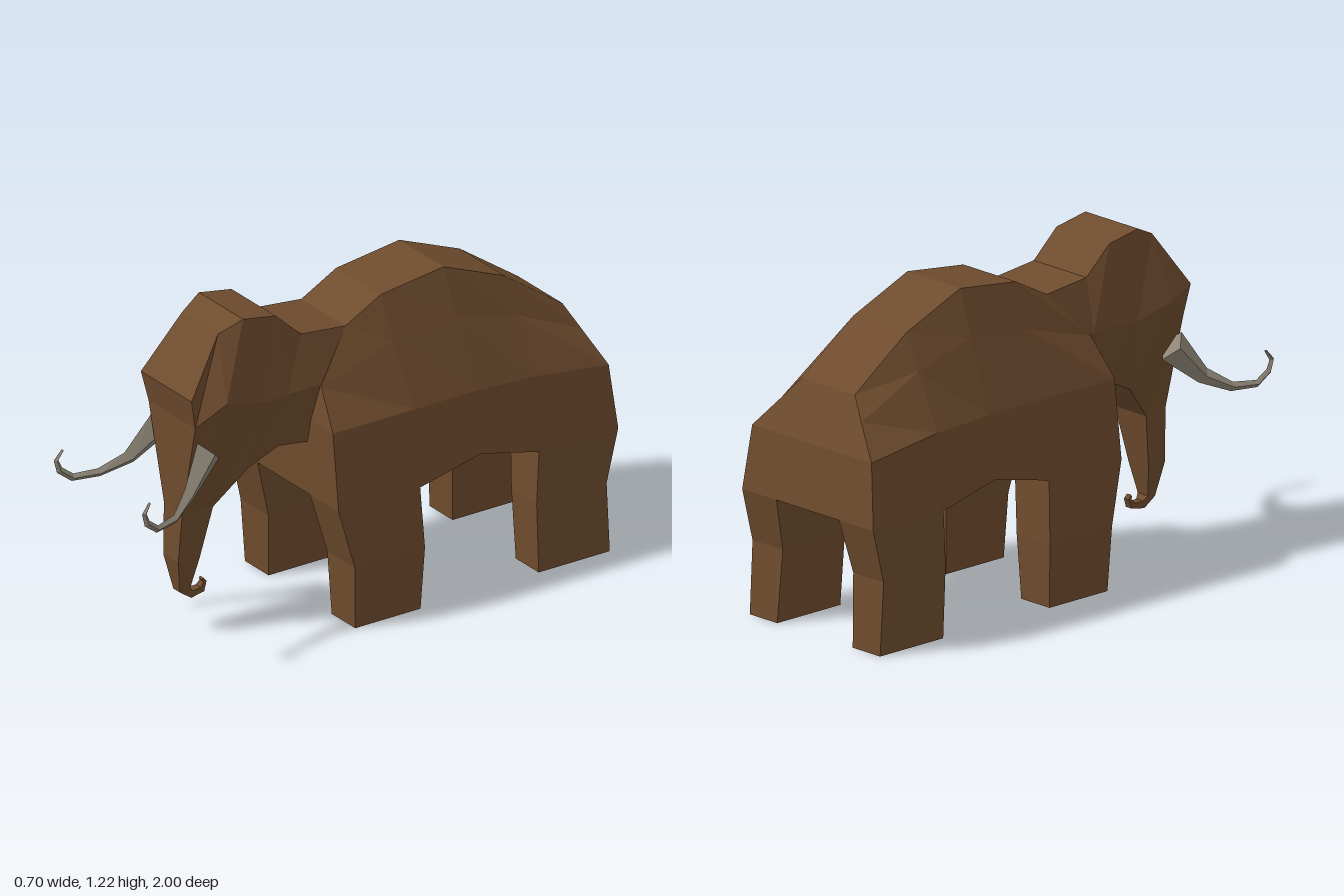
import * as THREE from 'three';

const V = (x, y, z) => new THREE.Vector3(x, y, z);

// Skin closed rings of points into a flat-sided solid with capped ends
function loft(rings) {
  const tris = [];
  const quad = (a, b, c, d) => tris.push(a, b, c, a, c, d);
  const n = rings[0].length;
  for (let r = 0; r < rings.length - 1; r++) {
    const p = rings[r], q = rings[r + 1];
    for (let i = 0; i < n; i++) {
      const j = (i + 1) % n;
      quad(p[i], p[j], q[j], q[i]);
    }
  }
  const s = rings[0], e = rings[rings.length - 1];
  for (let i = 0; i < n / 2 - 1; i++) {
    quad(s[i], s[n - 1 - i], s[n - 2 - i], s[i + 1]);
    quad(e[i], e[i + 1], e[n - 2 - i], e[n - 1 - i]);
  }
  // Turn the faces outward if the volume comes out negative
  let volume = 0;
  for (let i = 0; i < tris.length; i += 3) {
    volume += tris[i].dot(tris[i + 1].clone().cross(tris[i + 2]));
  }
  if (volume < 0) tris.reverse();
  const g = new THREE.BufferGeometry().setFromPoints(tris);
  g.computeVertexNormals();
  return g;
}

// Half ring of [x, y, z] completed by mirroring across x = 0
const sym = (half) => [
  ...half.map(([x, y, z]) => V(x, y, z)),
  ...half.slice().reverse().map(([x, y, z]) => V(-x, y, z)),
];

export function createModel() {
  const model = new THREE.Group();
  model.name = 'mammoth';
  const hide = new THREE.MeshStandardMaterial({ name: 'brownHide', color: 0x6f4c2e });
  const ivory = new THREE.MeshStandardMaterial({ name: 'greyIvory', color: 0x8f8678 });
  const add = (name, rings, material) => {
    const mesh = new THREE.Mesh(loft(rings), material);
    mesh.name = name;
    model.add(mesh);
  };

  // Body stations: back ridge, upper flank, flank, lower edge
  add('body', [
    [[0.135, 1.07, 0.03], [0.2, 0.9, 0.18], [0.3, 0.76, 0.2], [0.335, 0.47, 0.2]],
    [[0.135, 1.15, -0.12], [0.2, 0.99, -0.13], [0.3, 0.76, -0.15], [0.335, 0.47, -0.15]],
    [[0.135, 1.185, -0.39], [0.2, 1.02, -0.4], [0.3, 0.76, -0.41], [0.335, 0.53, -0.41]],
    [[0.135, 1.08, -0.65], [0.2, 0.95, -0.655], [0.303, 0.75, -0.66], [0.335, 0.47, -0.66]],
    [[0.135, 0.905, -0.9], [0.203, 0.826, -0.933], [0.305, 0.71, -0.98], [0.335, 0.47, -1]],
  ].map(sym), hide);

  // Head stations: crown, cheek, jaw
  add('head', [
    [[0.135, 1.07, 0.03], [0.195, 0.9, 0.1], [0.15, 0.67, 0.1]],
    [[0.135, 1.09, 0.22], [0.195, 0.905, 0.2], [0.145, 0.67, 0.2]],
    [[0.135, 1.19, 0.33], [0.195, 0.905, 0.32], [0.14, 0.685, 0.32]],
    [[0.135, 1.215, 0.47], [0.195, 0.9, 0.41], [0.125, 0.625, 0.44]],
    [[0.11, 1.172, 0.56], [0.193, 0.935, 0.58], [0.08, 0.49, 0.56]],
    [[0.155, 0.965, 0.705], [0.143, 0.85, 0.68], [0.057, 0.49, 0.675]],
  ].map(sym), hide);

  // Trunk stations: front edge, rear edge, ending in a small curl
  add('trunk', [
    [[0.057, 0.49, 0.675], [0.08, 0.49, 0.56]],
    [[0.045, 0.29, 0.685], [0.052, 0.29, 0.598]],
    [[0.02, 0.16, 0.66], [0.026, 0.17, 0.62]],
    [[0.018, 0.125, 0.61], [0.018, 0.152, 0.605]],
    [[0.016, 0.135, 0.553], [0.016, 0.152, 0.567]],
    [[0.012, 0.17, 0.54], [0.012, 0.17, 0.553]],
    [[0.01, 0.185, 0.553], [0.01, 0.178, 0.558]],
  ].map(sym), hide);

  // Leg levels: y, inner x, outer x, front z, rear z
  const legs = {
    FrontLeg: [
      [0.47, 0.16, 0.335, 0.2, -0.15],
      [0.24, 0.18, 0.35, 0.14, -0.16],
      [0, 0.193, 0.337, 0.13, -0.15],
    ],
    RearLeg: [
      [0.47, 0.16, 0.335, -0.66, -1],
      [0.27, 0.18, 0.335, -0.65, -0.95],
      [0, 0.193, 0.333, -0.66, -0.965],
    ],
  };

  // Tusk path: x, y, z, radius
  const tusk = [
    [0.143, 0.75, 0.625, 0.062],
    [0.185, 0.627, 0.735, 0.03],
    [0.233, 0.576, 0.83, 0.017],
    [0.26, 0.572, 0.925, 0.014],
    [0.268, 0.61, 0.975, 0.013],
    [0.27, 0.65, 0.988, 0.01],
    [0.266, 0.686, 0.962, 0.005],
  ];

  for (const [side, s] of [['left', 1], ['right', -1]]) {
    for (const [name, levels] of Object.entries(legs)) {
      add(side + name, levels.map(([y, xi, xo, zf, zr]) => [
        V(s * xi, y, zf), V(s * xo, y, zf), V(s * xo, y, zr), V(s * xi, y, zr),
      ]), hide);
    }
    // Diamond sections set square to the path
    add(side + 'Tusk', tusk.map(([x, y, z, r], i) => {
      const a = tusk[Math.max(i - 1, 0)], b = tusk[Math.min(i + 1, tusk.length - 1)];
      const t = Math.atan2(b[1] - a[1], b[2] - a[2]);
      const up = V(0, Math.cos(t) * r, -Math.sin(t) * r);
      const out = V(r * 0.65 + 0.003, 0, 0);
      const c = V(s * x, y, z);
      return [c.clone().add(up), c.clone().add(out), c.clone().sub(up), c.clone().sub(out)];
    }), ivory);
  }
  return model;
}
